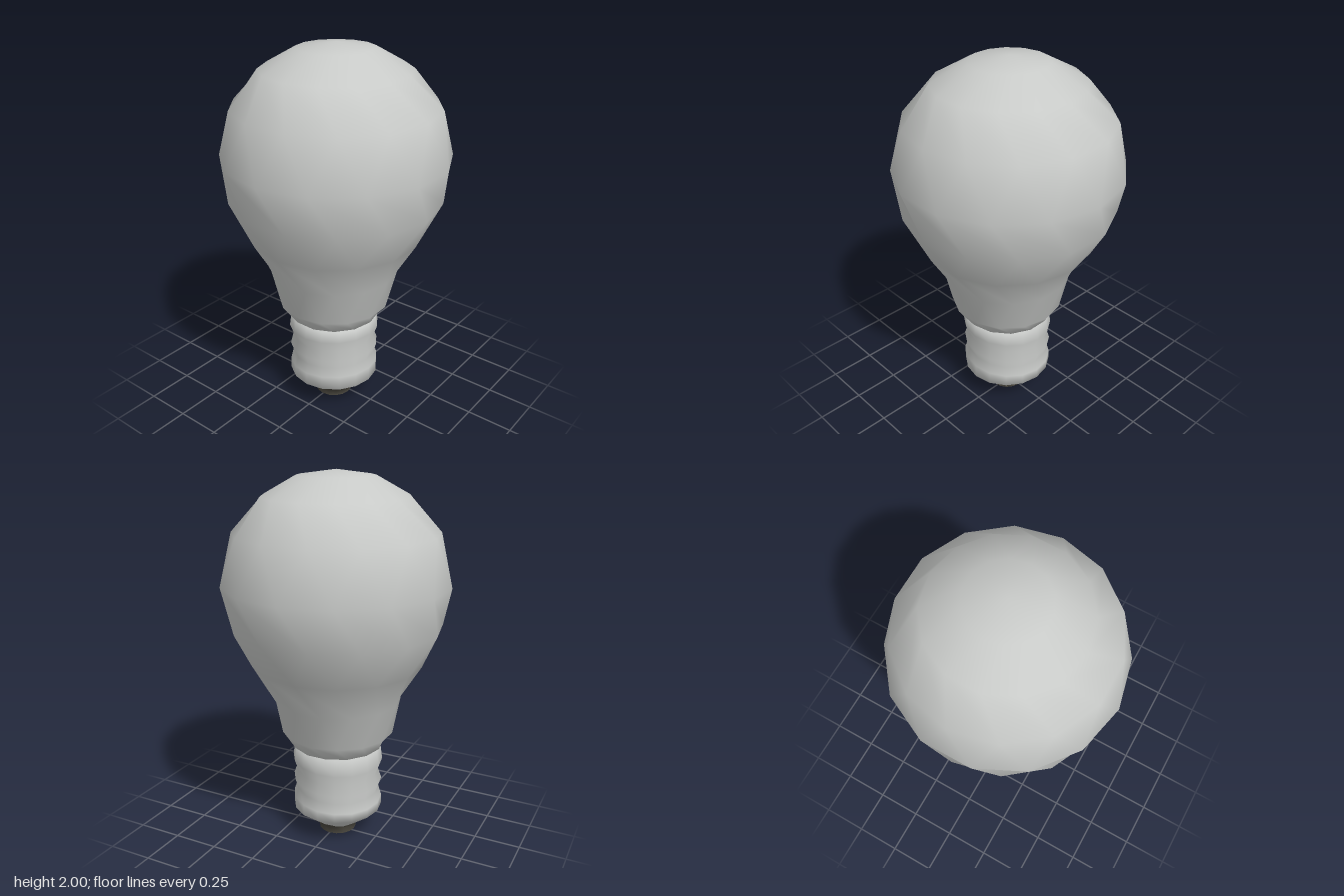
import * as THREE from 'three';
import { mergeVertices } from 'three/addons/utils/BufferGeometryUtils.js';

// Lathe a bottom-to-top [radius, height] profile, bend its vertices by a rule, smooth across the seam
function turned(profile, sides, rule) {
  const raw = new THREE.LatheGeometry(profile.map(([r, y]) => new THREE.Vector2(r, y)), sides);
  raw.deleteAttribute('uv');
  raw.deleteAttribute('normal');
  const p = raw.attributes.position;
  const v = new THREE.Vector3();
  for (let i = 0; i < p.count; i++) {
    v.fromBufferAttribute(p, i);
    rule(v, i % profile.length);
    p.setXYZ(i, v.x, v.y, v.z);
  }
  const g = mergeVertices(raw, 1e-4);
  g.computeVertexNormals();
  return g;
}

export function createModel() {
  const model = new THREE.Group();
  const silver = new THREE.MeshStandardMaterial({ color: 0xc8cac8 });
  silver.name = 'paleGrey';
  const dark = new THREE.MeshStandardMaterial({ color: 0x4c4940 });
  dark.name = 'darkInsulator';
  const add = (name, geometry, material) => {
    const mesh = new THREE.Mesh(geometry, material);
    mesh.name = name;
    model.add(mesh);
  };
  const up = new THREE.Vector3(0, 1, 0);
  const baseZ = 0.02;

  // Glass: coarse rings, each turned half a step from the last; the neck sits slightly forward
  const glass = [[0.2, 0.515], [0.25, 0.53], [0.305, 0.61], [0.345, 0.8], [0.455, 1.0], [0.56, 1.21],
    [0.597, 1.43], [0.535, 1.69], [0.385, 1.87], [0.2, 1.972], [0, 2]];
  add('glassBulb', turned(glass, 14, (v, ring) => {
    v.applyAxisAngle(up, (ring % 2) * Math.PI / 14);
    v.z += baseZ * THREE.MathUtils.clamp((1.3 - v.y) / 0.6, 0, 1);
  }), silver);

  // Lower edge of the metal cone dips toward the back right
  const dip = (v) => {
    const a = Math.atan2(v.x, v.z);
    const t = Math.max(0, Math.cos(a + Math.PI * 0.75)) ** 4;
    const r = Math.hypot(v.x, v.z);
    const k = (r - 0.055 * t) / r;
    v.set(v.x * k, v.y - 0.042 * t, v.z * k);
  };

  // Screw cap: worn thread ridges that climb a little around the base
  const cap = [[0.168, 0.09], [0.247, 0.15], [0.247, 0.215], [0.228, 0.265], [0.246, 0.32],
    [0.226, 0.375], [0.249, 0.44], [0.238, 0.515], [0.19, 0.525]];
  add('screwCap', turned(cap, 16, (v, ring) => {
    if (ring === 0) dip(v);
    else if (ring > 1 && ring < 7) v.y += 0.015 * Math.sin(Math.atan2(v.x, v.z) + 0.6);
    v.z += baseZ;
  }), silver);

  // Dark insulator between the cap and the end contact
  add('insulator', turned([[0.103, 0], [0.105, 0.035], [0.168, 0.09]], 16, (v, ring) => {
    if (ring === 2) dip(v);
    v.z += baseZ;
  }), dark);

  // Flat end contact
  add('endContact', turned([[0, 0], [0.103, 0]], 16, (v) => { v.z += baseZ; }), silver);

  return model;
}
